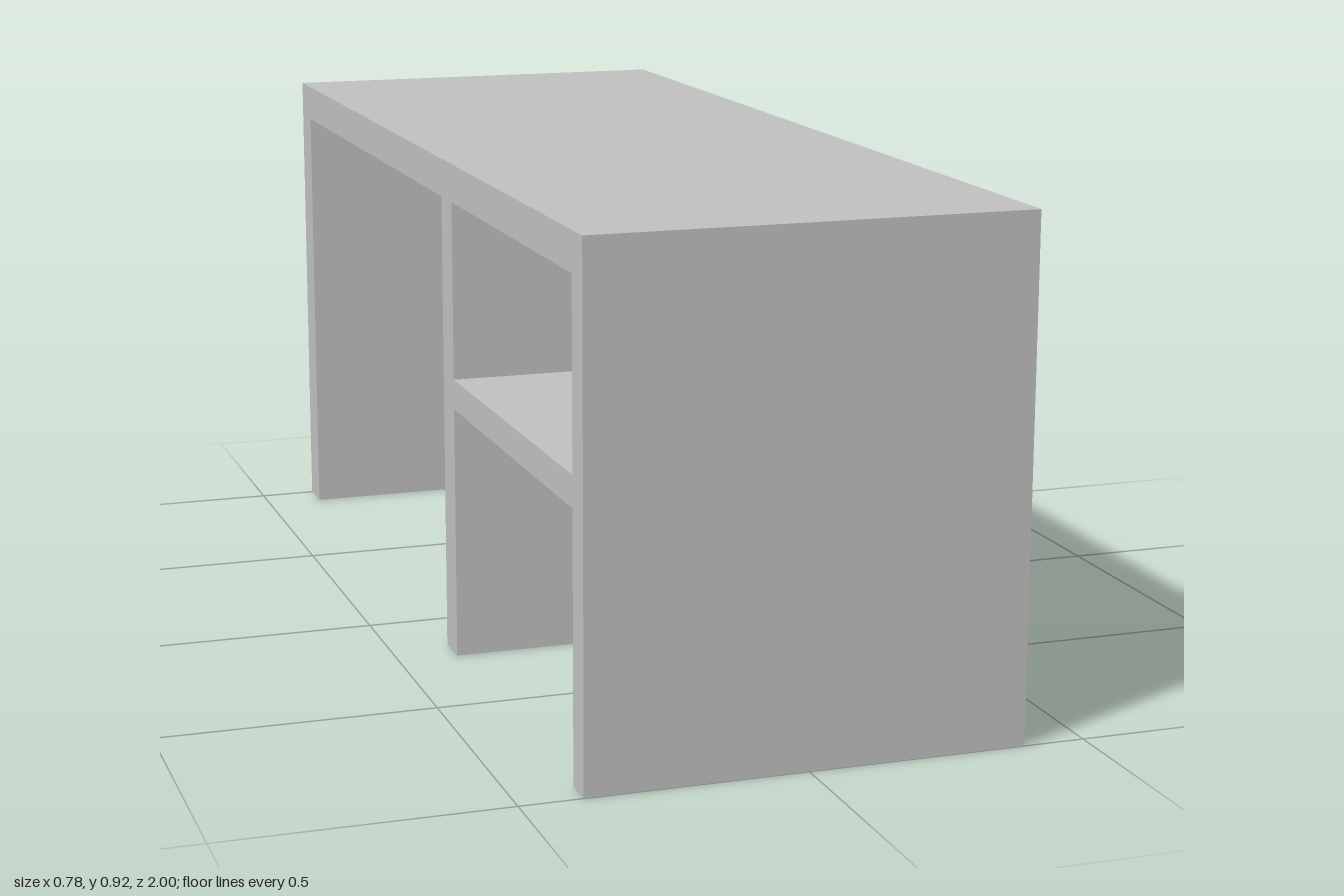
import * as THREE from 'three';

const W = 0.78, H = 0.917;              // width in x, height
const SHELF_LOW = 0.468, SHELF_TOP = 0.523, TOP_LOW = 0.848;
const FRONT_IN = 0.945, MID_FRONT = 0.23, MID_BACK = 0.16, BACK_IN = -0.927;
const PANEL = 0.055;

export function createModel() {
  const model = new THREE.Group();
  const grey = new THREE.MeshStandardMaterial({ color: 0xbfbfbf });
  grey.name = 'light grey';

  // points are [z, y]; the extrusion is turned so its depth runs along x
  const toPoints = (list) => list.map(([z, y]) => new THREE.Vector2(-z, y));

  // desk frame: side profile with three legs, pierced by the open compartment
  const profile = new THREE.Shape(toPoints([
    [1, 0], [FRONT_IN, 0], [FRONT_IN, SHELF_LOW], [MID_FRONT, SHELF_LOW],
    [MID_FRONT, 0], [MID_BACK, 0], [MID_BACK, TOP_LOW], [BACK_IN, TOP_LOW],
    [BACK_IN, 0], [-1, 0], [-1, H], [1, H],
  ]));
  profile.holes.push(new THREE.Path(toPoints([
    [FRONT_IN, SHELF_TOP], [FRONT_IN, TOP_LOW], [MID_FRONT, TOP_LOW], [MID_FRONT, SHELF_TOP],
  ])));
  const frameGeometry = new THREE.ExtrudeGeometry(profile, { depth: W, bevelEnabled: false });
  frameGeometry.translate(0, 0, -W / 2).rotateY(Math.PI / 2);
  const frame = new THREE.Mesh(frameGeometry, grey);
  frame.name = 'deskFrame';
  model.add(frame);

  // panel closing the compartment on the +x side
  const panel = new THREE.Mesh(
    new THREE.BoxGeometry(PANEL, TOP_LOW - SHELF_TOP, FRONT_IN - MID_FRONT), grey);
  panel.position.set((W - PANEL) / 2, (TOP_LOW + SHELF_TOP) / 2, (FRONT_IN + MID_FRONT) / 2);
  panel.name = 'compartmentPanel';
  model.add(panel);

  return model;
}
